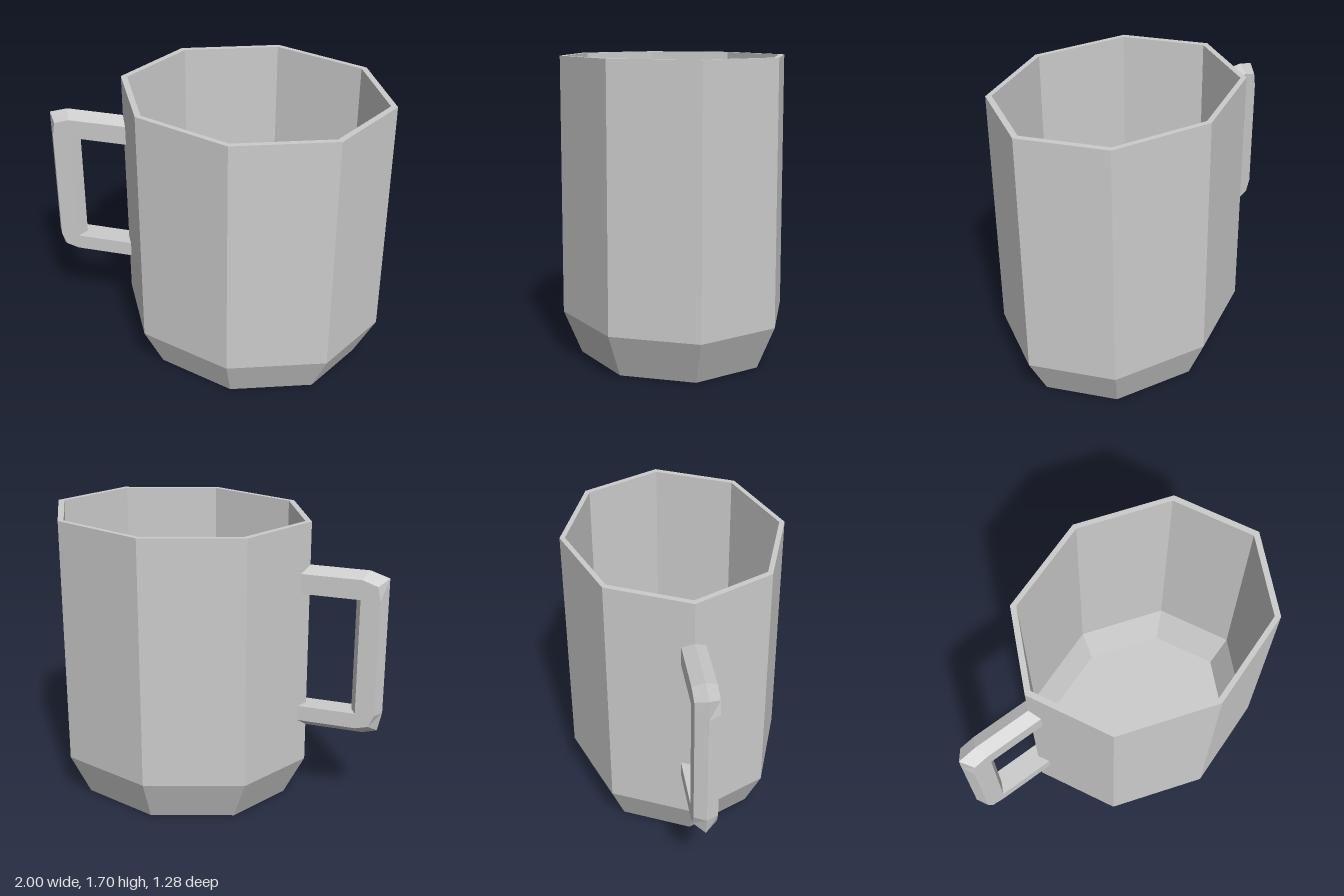
import * as THREE from 'three';

const material = new THREE.MeshStandardMaterial({ color: 0xcccccc, flatShading: true });

// Eight-sided hollow cup: outer wall, rim, inner wall and floor in one profile
function createCup() {
  const profile = [
    [0, 0], [0.65, 0.005], [0.775, 0.25], [0.775, 1.7],
    [0.738, 1.7], [0.738, 0.25], [0.625, 0.02], [0, 0.02],
  ].map(([r, y]) => new THREE.Vector2(r, y));
  const cup = new THREE.Mesh(new THREE.LatheGeometry(profile, 8), material);
  cup.name = 'cup';
  cup.scale.z = 0.64 / 0.775;
  cup.position.x = 0.225;
  return cup;
}

// Faceted handle: cross-sections with an outer ridge, two shoulders and an inner side
function createHandle() {
  const half = 0.067;
  // Each section: ridge x, y, shoulder x, y, inner corner x, y, inner middle x
  const sections = [
    [-0.53, 1.455, -0.51, 1.415, -0.51, 1.3, -0.53],
    [-0.89, 1.455, -0.86, 1.415, -0.855, 1.3, -0.855],
    [-1, 1.42, -0.95, 1.385, -0.855, 1.3, -0.855],
    [-1, 1.3, -0.965, 1.3, -0.855, 1.3, -0.82],
    [-1, 0.615, -0.965, 0.615, -0.855, 0.615, -0.82],
    [-0.975, 0.5, -0.935, 0.545, -0.855, 0.615, -0.855],
    [-0.89, 0.475, -0.86, 0.525, -0.855, 0.615, -0.855],
    [-0.53, 0.475, -0.51, 0.525, -0.51, 0.615, -0.53],
  ];
  const positions = [];
  for (const [rx, ry, sx, sy, ix, iy, mx] of sections) {
    positions.push(rx, ry, 0, sx, sy, half, ix, iy, half, mx, iy, 0, ix, iy, -half, sx, sy, -half);
  }
  const index = [];
  for (let i = 0; i < sections.length - 1; i++) {
    for (let j = 0; j < 6; j++) {
      const a = i * 6 + j;
      const b = i * 6 + (j + 1) % 6;
      index.push(a, a + 6, b, b, a + 6, b + 6);
    }
  }
  const geometry = new THREE.BufferGeometry();
  geometry.setAttribute('position', new THREE.Float32BufferAttribute(positions, 3));
  geometry.setIndex(index);
  geometry.computeVertexNormals();
  const handle = new THREE.Mesh(geometry, material);
  handle.name = 'handle';
  return handle;
}

export function createModel() {
  const mug = new THREE.Group();
  mug.name = 'mug';
  mug.add(createCup(), createHandle());
  return mug;
}
